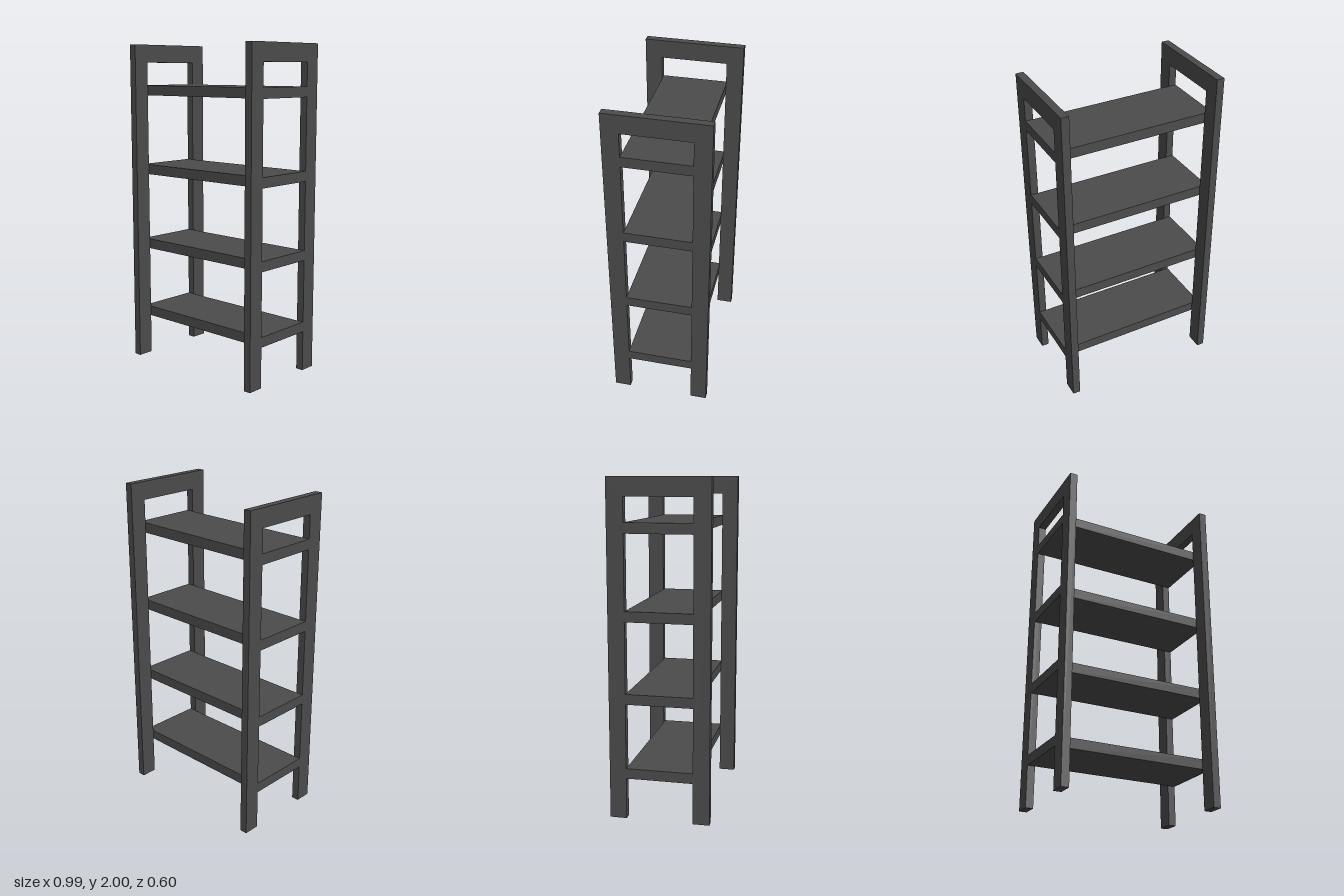
import * as THREE from 'three';

const HALF_W = 0.497, INNER_X = 0.45, HALF_D = 0.3, INNER_Z = 0.2;

export function createModel() {
  const model = new THREE.Group();
  model.name = 'shelfUnit';
  const darkGrey = new THREE.MeshStandardMaterial({ color: 0x4b4b4b });
  darkGrey.name = 'darkGrey';

  // Side frame: two posts joined by a top rail, as one upside-down U
  const outline = new THREE.Shape([
    [-HALF_D, 0], [-INNER_Z, 0], [-INNER_Z, 1.89], [INNER_Z, 1.89],
    [INNER_Z, 0], [HALF_D, 0], [HALF_D, 2], [-HALF_D, 2],
  ].map(([z, y]) => new THREE.Vector2(z, y)));
  const thickness = HALF_W - INNER_X;
  const frame = new THREE.ExtrudeGeometry(outline, { depth: thickness, bevelEnabled: false });
  frame.translate(0, 0, -thickness / 2).rotateY(Math.PI / 2);
  for (const [name, side] of [['leftFrame', 1], ['rightFrame', -1]]) {
    const mesh = new THREE.Mesh(frame, darkGrey);
    mesh.name = name;
    mesh.position.x = side * (HALF_W + INNER_X) / 2;
    model.add(mesh);
  }

  // Shelves: boards between the posts, ends flush with the frames' outer faces
  const board = new THREE.BoxGeometry(HALF_W * 2, 0.062, INNER_Z * 2);
  [0.28, 0.732, 1.217, 1.718].forEach((y, i) => {
    const shelf = new THREE.Mesh(board, darkGrey);
    shelf.name = `shelf${i + 1}`;
    shelf.position.y = y;
    model.add(shelf);
  });

  return model;
}
